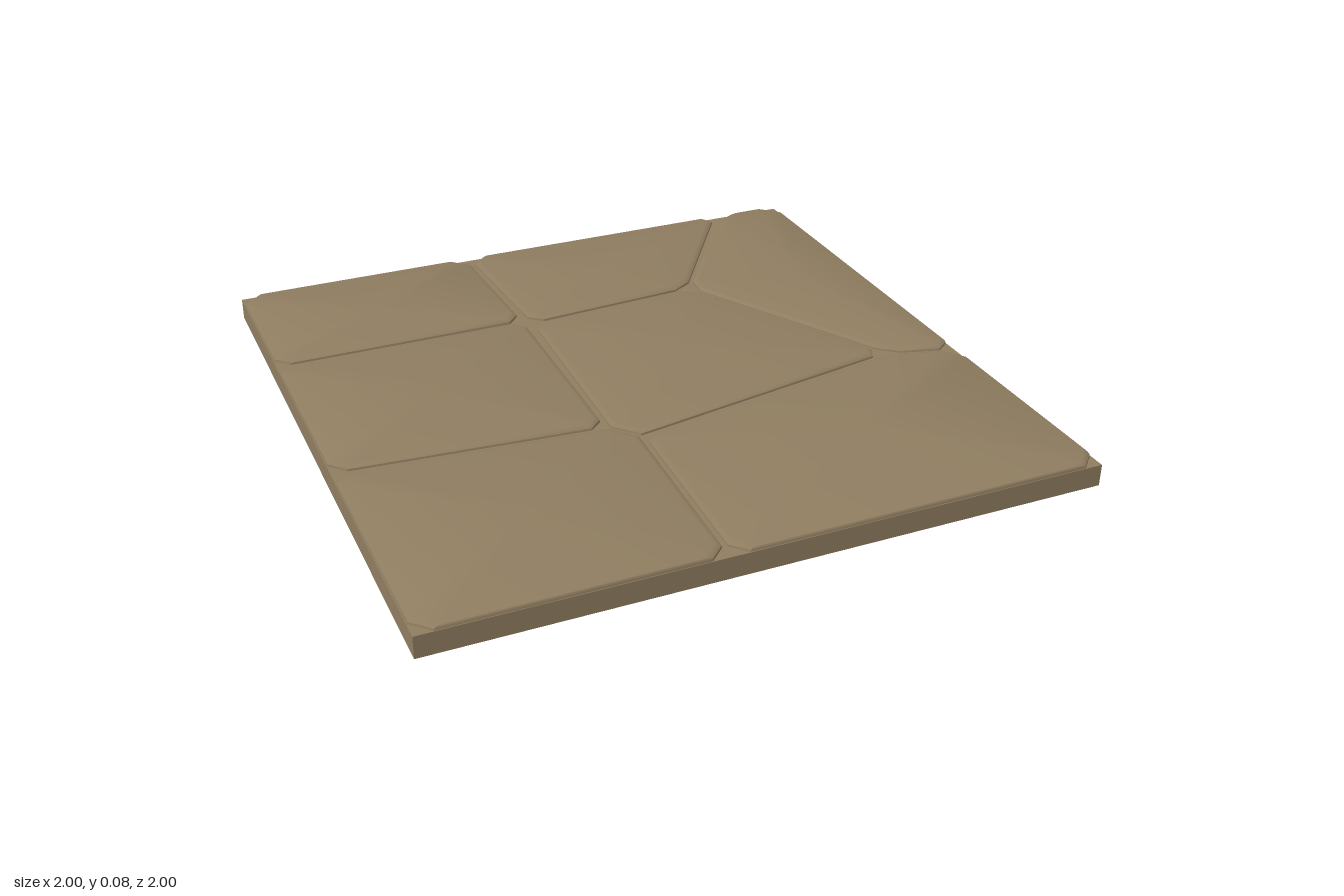
import * as THREE from 'three';
import { toCreasedNormals } from 'three/addons/utils/BufferGeometryUtils.js';

const GROUT = 0.067;
// bevel profile of a stone: [inset from joint line, height]
const PROFILE = [[0.006, 0.06], [0.009, 0.073], [0.017, 0.078], [0.027, 0.08]];

// joint corners as [x, z]
const P = {
  nw: [-1, -1], ne: [1, -1], se: [1, 1], sw: [-1, 1],
  a: [-0.205, -1], b: [-0.185, -0.47], c: [-0.173, -0.443], d: [0.41, -0.485], e: [0.76, -1],
  w1: [-1, -0.47], w2: [-1, 0.21], f: [-0.195, 0.275], g: [-0.125, 0.355],
  h: [0.785, 0.19], i: [1, 0.25], j: [-0.15, 1],
};

// stones, clockwise seen from above
const STONES = {
  backLeftStone: 'nw a b w1',
  backMiddleStone: 'a e d c',
  backRightStone: 'e ne i h d',
  leftStone: 'w1 b f w2',
  centreStone: 'c d h g f',
  frontLeftStone: 'w2 f g j sw',
  frontRightStone: 'g h i se j',
};

const dist = (p, q) => Math.hypot(q[0] - p[0], q[1] - p[1]);
const toward = (p, q, d) => p.map((v, k) => v + (q[k] - v) * d / dist(p, q));

// clip the corners that lie between two long edges
function clipCorners(pts, cut) {
  return pts.flatMap((p, k) => {
    const prev = pts.at(k - 1), next = pts[(k + 1) % pts.length];
    if (Math.min(dist(p, prev), dist(p, next)) < 0.2) return [p];
    return [toward(p, prev, cut), toward(p, next, cut)];
  });
}

// move every edge inwards; edges on the slab rim move less
function inset(pts, amount) {
  const lines = pts.map((p, k) => {
    const q = pts[(k + 1) % pts.length], l = dist(p, q);
    const n = [-(q[1] - p[1]) / l, (q[0] - p[0]) / l];
    const rim = [0, 1].some(m => Math.abs(p[m]) === 1 && p[m] === q[m]);
    return { n, d: n[0] * p[0] + n[1] * p[1] + amount * (rim ? 0.3 : 1) };
  });
  return lines.map((v, k) => {
    const u = lines.at(k - 1);
    const det = u.n[0] * v.n[1] - u.n[1] * v.n[0];
    return [(u.d * v.n[1] - v.d * u.n[1]) / det, (u.n[0] * v.d - v.n[0] * u.d) / det];
  });
}

function stoneGeometry(corners) {
  const outline = clipCorners(corners, 0.045), n = outline.length;
  const pos = [], index = [];
  for (const [d, y] of PROFILE) for (const [x, z] of inset(outline, d)) pos.push(x, y, z);
  // bevel rings
  for (let r = 0; r < PROFILE.length - 1; r++) {
    for (let k = 0; k < n; k++) {
      const o = r * n + k, o2 = r * n + (k + 1) % n;
      index.push(o2, o, o + n, o + n, o2 + n, o2);
    }
  }
  // flat top
  const top = (PROFILE.length - 1) * n, centre = pos.length / 3;
  const mid = [0, 1].map(m => outline.reduce((s, p) => s + p[m], 0) / n);
  pos.push(mid[0], 0.08, mid[1]);
  for (let k = 0; k < n; k++) index.push(centre, top + (k + 1) % n, top + k);

  const geo = new THREE.BufferGeometry();
  geo.setAttribute('position', new THREE.Float32BufferAttribute(pos, 3));
  geo.setIndex(index);
  return toCreasedNormals(geo, 0.6);
}

export function createModel() {
  const group = new THREE.Group();
  group.name = 'stoneFloorTile';
  const material = new THREE.MeshStandardMaterial({ color: 0x8f7d60 });
  const add = (name, geo) => {
    const mesh = new THREE.Mesh(geo, material);
    mesh.name = name;
    group.add(mesh);
    return mesh;
  };

  // slab forming the sides, underside and joint floor
  add('baseSlab', new THREE.BoxGeometry(2, GROUT, 2)).position.y = GROUT / 2;

  // paving stones
  for (const [name, keys] of Object.entries(STONES)) {
    add(name, stoneGeometry(keys.split(' ').map(k => P[k])));
  }
  return group;
}
